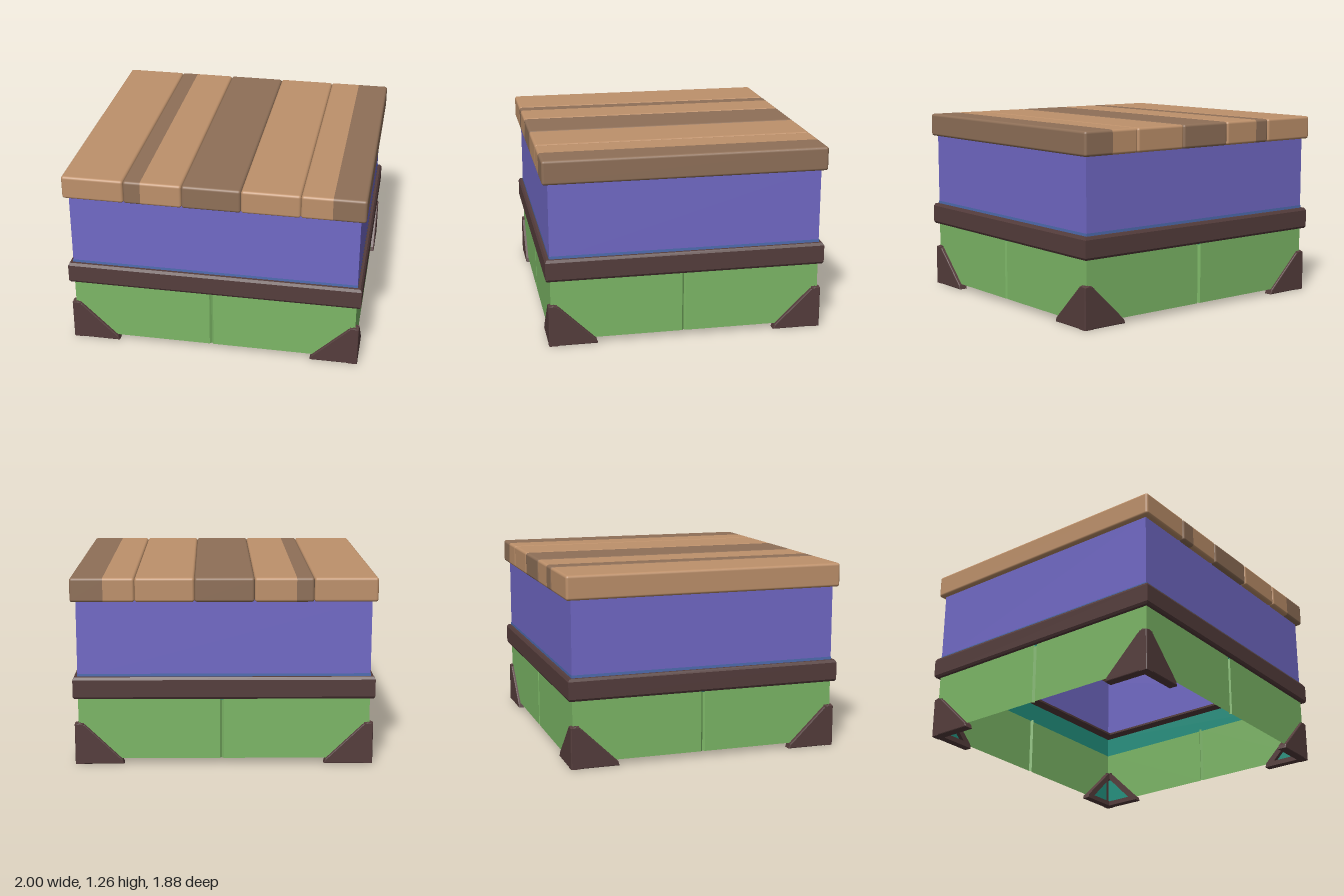
import * as THREE from 'three';
import { RoundedBoxGeometry } from 'three/addons/geometries/RoundedBoxGeometry.js';

const HX = 0.965, HZ = 0.905; // half size of the walls

function material(name, color, double = true) {
  const m = new THREE.MeshStandardMaterial({ color });
  m.name = name;
  if (double) m.side = THREE.DoubleSide;
  return m;
}

// Joins plan outlines (arrays of [x, z]) at successive heights with flat quads
function loft(loops) {
  const pos = [];
  for (let k = 0; k < loops.length - 1; k++) {
    const a = loops[k], b = loops[k + 1], n = a.pts.length;
    for (let i = 0; i < n; i++) {
      const j = (i + 1) % n;
      const p = [a.pts[i][0], a.y, a.pts[i][1]], q = [a.pts[j][0], a.y, a.pts[j][1]];
      const r = [b.pts[j][0], b.y, b.pts[j][1]], s = [b.pts[i][0], b.y, b.pts[i][1]];
      pos.push(...p, ...q, ...r, ...p, ...r, ...s);
    }
  }
  const g = new THREE.BufferGeometry();
  g.setAttribute('position', new THREE.Float32BufferAttribute(pos, 3));
  g.computeVertexNormals();
  return g;
}

// Rectangle outline, offset outward from the walls
function rect(y, off) {
  const x = HX + off, z = HZ + off;
  return { y, pts: [[-x, z], [x, z], [x, -z], [-x, -z]] };
}

// Wall outline with a small V groove in the middle of every side
function grooved(y) {
  const c = 0.015, w = 0.013, d = 0.015, x = HX, z = HZ;
  return { y, pts: [
    [-x, z], [-c - w, z], [-c, z - d], [-c + w, z],
    [x, z], [x, c + w], [x - d, c], [x, c - w],
    [x, -z], [c + w, -z], [c, -z + d], [c - w, -z],
    [-x, -z], [-x, -c - w], [-x + d, -c], [-x, -c + w],
  ] };
}

// Triangular corner bracket outline, running towards -x from the corner
function bracketPoints() {
  return [[0, 0], [0, 0.275], [-0.035, 0.285], [-0.07, 0.268], [-0.315, 0.03], [-0.325, 0]]
    .map(([x, y]) => new THREE.Vector2(x, y));
}
function holePoints() {
  return [[-0.03, 0.035], [-0.25, 0.035], [-0.06, 0.225], [-0.03, 0.225]]
    .map(([x, y]) => new THREE.Vector2(x, y));
}

export function createModel() {
  const group = new THREE.Group();
  const tan = material('light wood', 0xbe916b, false);
  const brown = material('dark wood', 0x8f7058, false);
  const purple = material('purple wall', 0x7169c6);
  const green = material('green wall', 0x7cb766);
  const trim = material('dark trim', 0x553d3c);
  const teal = material('teal lining', 0x23917f);
  const blue = material('blue edge', 0x4f6db2);

  const add = (parent, name, geometry, mat) => {
    const mesh = new THREE.Mesh(geometry, mat);
    mesh.name = name;
    parent.add(mesh);
    return mesh;
  };

  // Open walls, without a floor
  add(group, 'lowerWalls', loft([grooved(0.035), grooved(0.45)]), green);
  add(group, 'bandLining', loft([rect(0.44, -0.003), rect(0.59, -0.003)]), teal);
  add(group, 'upperWalls', loft([rect(0.59, 0), rect(1.11, 0)]), purple);
  add(group, 'upperWallEdge', loft([rect(0.59, 0.003), rect(0.617, 0.003)]), blue);

  // Middle band with bevelled edges and an inner lip
  add(group, 'middleBand', loft([
    rect(0.45, -0.001), rect(0.45, 0.022), rect(0.465, 0.031), rect(0.58, 0.031),
    rect(0.598, 0.02), rect(0.6, -0.085), rect(0.585, -0.085), rect(0.585, -0.001),
  ]), trim);

  // Corner feet: solid outer plates, inner frames and lining
  const outline = new THREE.Shape(bracketPoints());
  const framed = new THREE.Shape(bracketPoints());
  framed.holes.push(new THREE.Path(holePoints()));
  const plateGeo = new THREE.ExtrudeGeometry(outline, {
    depth: 0.012, bevelEnabled: true, bevelThickness: 0.007, bevelSize: 0.007,
    bevelOffset: -0.007, bevelSegments: 2,
  });
  const frameGeo = new THREE.ExtrudeGeometry(framed, { depth: 0.045, bevelEnabled: false });
  const liningGeo = new THREE.ShapeGeometry(new THREE.Shape(holePoints()));
  [[1, 1], [1, -1], [-1, -1], [-1, 1]].forEach(([sx, sz], k) => {
    const foot = new THREE.Group();
    foot.name = 'cornerFoot';
    for (const side of [0, 1]) {
      // The second wing is the first one mirrored across the corner diagonal
      const wing = new THREE.Group();
      wing.name = 'footWing';
      const s = side ? 1 : -1;
      add(wing, 'footPlate', plateGeo, trim).position.z = side ? 0.007 : -0.019;
      add(wing, 'footFrame', frameGeo, trim).position.z = side ? 0.015 : -0.06;
      add(wing, 'footLining', liningGeo, teal).position.z = s * 0.03;
      if (side) wing.rotation.y = -Math.PI / 2;
      foot.add(wing);
    }
    foot.position.set(sx * (HX + 0.025), 0, sz * (HZ + 0.018));
    foot.rotation.y = k * Math.PI / 2;
    group.add(foot);
  });

  // Lid planks; a half with a cut side has a flat end against its neighbour
  const lid = new THREE.Group();
  lid.name = 'lid';
  group.add(lid);
  const plank = (x0, x1, mat, cut = 0) => {
    const w = x1 - x0;
    const g = new RoundedBoxGeometry(w, 0.16, 1.885, 3, 0.018);
    if (cut) {
      const p = g.attributes.position;
      for (let i = 0; i < p.count; i++) if (p.getX(i) * cut > 0) p.setX(i, cut * w / 2);
    }
    add(lid, 'lidPlank', g, mat).position.set((x0 + x1) / 2, 1.18, 0);
  };
  plank(-1, -0.585, tan);
  plank(-0.585, -0.47, brown, 1);
  plank(-0.47, -0.198, tan, -1);
  plank(-0.198, 0.192, brown);
  plank(0.192, 0.58, tan);
  plank(0.58, 0.785, tan, 1);
  plank(0.785, 1, brown, -1);

  return group;
}
